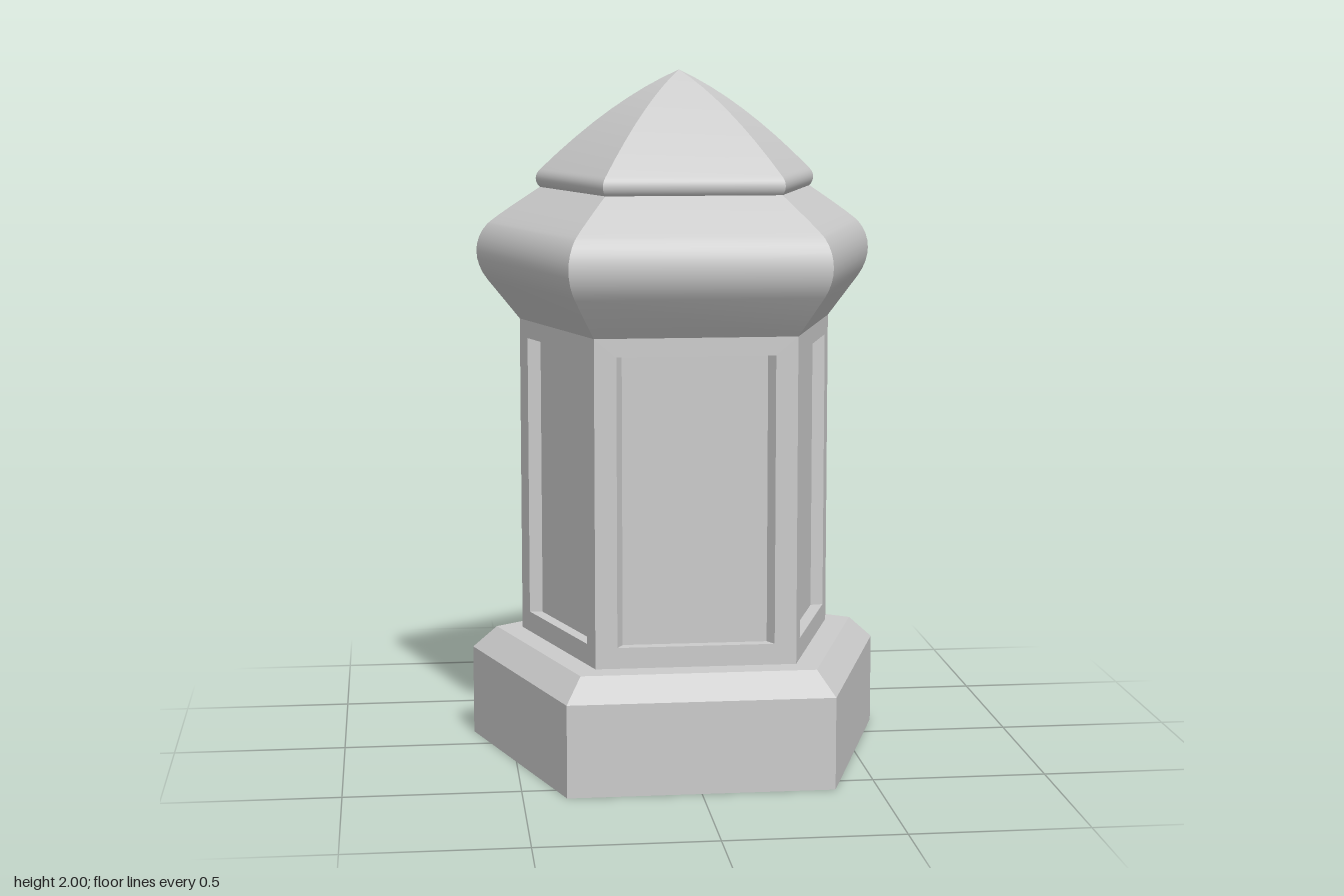
import * as THREE from 'three';
import { toCreasedNormals } from 'three/addons/utils/BufferGeometryUtils.js';

const SIDES = 5;
const STEP = (Math.PI * 2) / SIDES;
const SHIFT = (1 - Math.cos(STEP / 2)) / 2; // centres a pentagon of radius 1 in depth
const SHAFT_R = 0.487, SHAFT_Y0 = 0.33, SHAFT_Y1 = 1.267;

const material = new THREE.MeshStandardMaterial({ color: 0xcccccc, side: THREE.DoubleSide });

// Five-sided shell from a (radius, height) profile, flat side to the front
function pentagonShell(name, points) {
  const geo = new THREE.LatheGeometry(points, SIDES, STEP / 2);
  const pos = geo.attributes.position;
  for (let i = 0; i < pos.count; i++) {
    const r = Math.hypot(pos.getX(i), pos.getZ(i));
    pos.setZ(i, pos.getZ(i) + r * SHIFT);
  }
  const mesh = new THREE.Mesh(toCreasedNormals(geo, Math.PI / 6), material);
  mesh.name = name;
  return mesh;
}

// Rectangle corners, counter-clockwise from the lower left
function rectangle(halfWidth, y0, y1) {
  return [[-halfWidth, y0], [halfWidth, y0], [halfWidth, y1], [-halfWidth, y1]]
    .map(([x, y]) => new THREE.Vector2(x, y));
}

// Sunken panel: four walls and a back, from an outer and an inner rectangle
function recessGeometry(outer, inner, depth) {
  const verts = [];
  const quad = (a, b, c, d) => [a, b, c, a, c, d].forEach((p) => verts.push(...p));
  const front = outer.map((p) => [p.x, p.y, 0]);
  const back = inner.map((p) => [p.x, p.y, -depth]);
  for (let i = 0; i < 4; i++) {
    const j = (i + 1) % 4;
    quad(front[i], front[j], back[j], back[i]);
  }
  quad(...back);
  const geo = new THREE.BufferGeometry();
  geo.setAttribute('position', new THREE.Float32BufferAttribute(verts, 3));
  geo.computeVertexNormals();
  return geo;
}

function createShaft() {
  const shaft = new THREE.Group();
  shaft.name = 'shaft';
  shaft.position.z = SHAFT_R * SHIFT;

  const opening = rectangle(0.224, 0.39, 1.215);
  const frame = new THREE.Shape(rectangle(SHAFT_R * Math.sin(STEP / 2), SHAFT_Y0, SHAFT_Y1));
  frame.holes.push(new THREE.Path(opening));
  const frameGeo = new THREE.ShapeGeometry(frame);
  const panelGeo = recessGeometry(opening, rectangle(0.206, 0.39, 1.215), 0.034);

  for (let k = 0; k < SIDES; k++) {
    const side = new THREE.Group();
    side.name = `shaftSide${k + 1}`;
    side.rotation.y = k * STEP;
    [['panelFrame', frameGeo], ['sunkenPanel', panelGeo]].forEach(([name, geo]) => {
      const mesh = new THREE.Mesh(geo, material);
      mesh.name = name;
      mesh.position.z = SHAFT_R * Math.cos(STEP / 2);
      side.add(mesh);
    });
    shaft.add(side);
  }
  return shaft;
}

export function createModel() {
  const model = new THREE.Group();
  model.name = 'pentagonalPillar';

  // Open-bottomed plinth with a bevelled top and a ledge
  const plinth = [[0.643, 0], [0.643, 0.265], [0.568, 0.33], [SHAFT_R, SHAFT_Y0]]
    .map(([r, y]) => new THREE.Vector2(r, y));
  model.add(pentagonShell('plinth', plinth));

  model.add(createShaft());

  // Flared cap with a rounded rim
  const cap = new THREE.Path();
  cap.moveTo(SHAFT_R, SHAFT_Y1);
  cap.lineTo(0.585, 1.382);
  cap.bezierCurveTo(0.63, 1.436, 0.63, 1.5, 0.585, 1.547);
  cap.quadraticCurveTo(0.56, 1.57, 0.422, 1.657);
  model.add(pentagonShell('flaredCap', cap.getPoints(8)));

  // Curved roof with a small rounded lip
  const roof = new THREE.Path();
  roof.moveTo(0.422, 1.657);
  roof.bezierCurveTo(0.439, 1.672, 0.439, 1.694, 0.42, 1.71);
  roof.quadraticCurveTo(0.2, 1.915, 0, 2);
  model.add(pentagonShell('roof', roof.getPoints(8)));

  return model;
}
